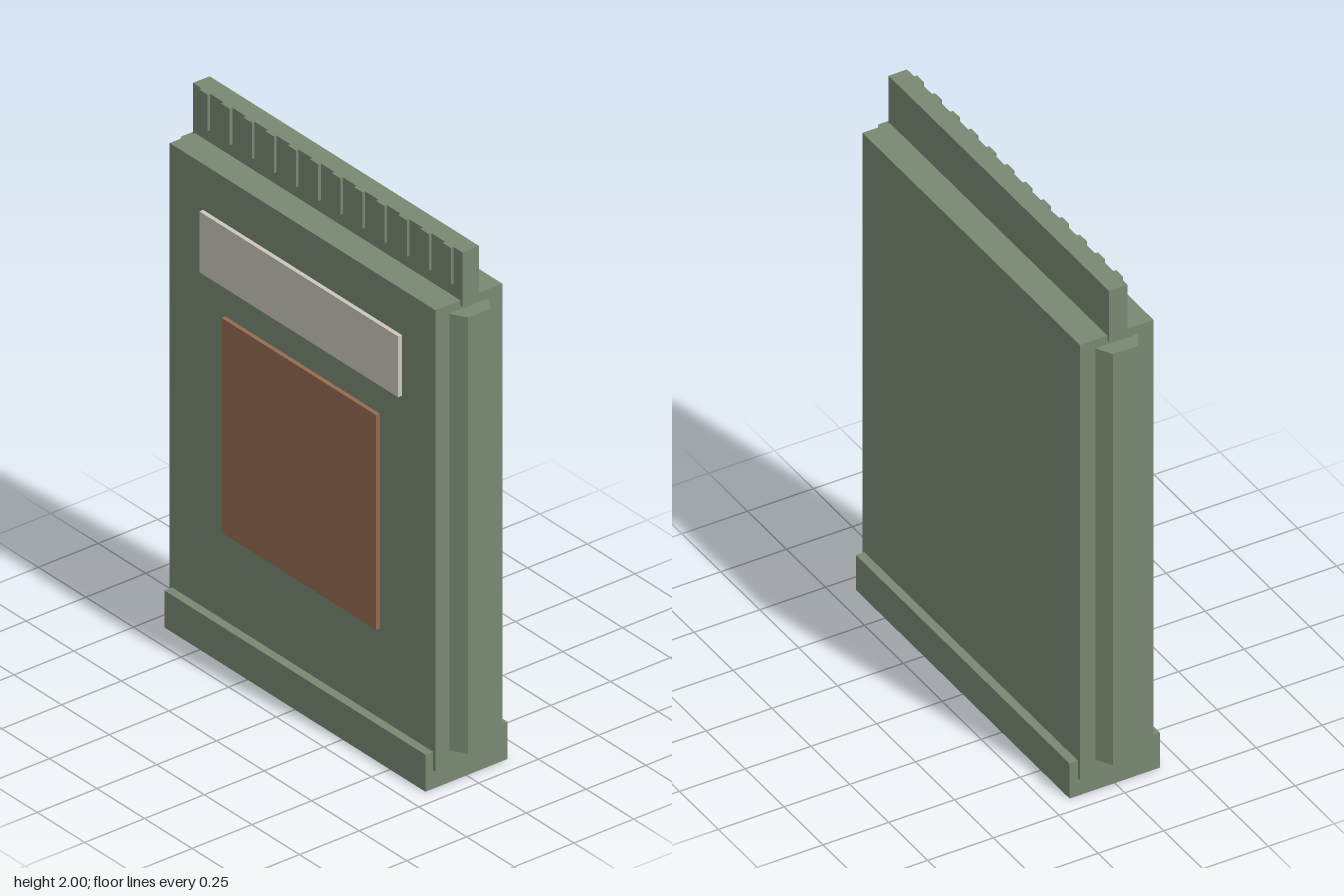
import * as THREE from 'three';

const green = new THREE.MeshStandardMaterial({ name: 'caseGreen', color: 0x788872 });
const cream = new THREE.MeshStandardMaterial({ name: 'labelCream', color: 0xcac6ba });
const brown = new THREE.MeshStandardMaterial({ name: 'panelBrown', color: 0x946a4f });

// Box given by its extents on each axis
function box(name, material, [x0, x1], [y0, y1], [z0, z1]) {
  const mesh = new THREE.Mesh(new THREE.BoxGeometry(x1 - x0, y1 - y0, z1 - z0), material);
  mesh.position.set((x0 + x1) / 2, (y0 + y1) / 2, (z0 + z1) / 2);
  mesh.name = name;
  return mesh;
}

// Vertical side rail with a trapezoid section, tapering outwards
function rail(name, side) {
  const points = [[0.69, -0.08], [0.698, -0.08], [0.755, -0.048], [0.755, 0.048], [0.698, 0.08], [0.69, 0.08]];
  const shape = new THREE.Shape(points.map(([x, z]) => new THREE.Vector2(side * x, z)));
  const geometry = new THREE.ExtrudeGeometry(shape, { depth: 1.65, bevelEnabled: false });
  geometry.rotateX(-Math.PI / 2);
  const mesh = new THREE.Mesh(geometry, green);
  mesh.position.y = 0.13;
  mesh.name = name;
  return mesh;
}

export function createModel() {
  const model = new THREE.Group();
  model.name = 'cartridge';

  // Case, foot and top connector strip
  model.add(
    box('body', green, [-0.698, 0.698], [0.07, 1.815], [-0.14, 0.14]),
    box('base', green, [-0.686, 0.686], [0, 0.14], [-0.172, 0.172]),
    box('connector', green, [-0.708, 0.708], [1.795, 2], [-0.035, 0.035]),
    rail('leftRail', 1),
    rail('rightRail', -1)
  );

  // Raised contacts along the front of the connector
  const contacts = new THREE.Group();
  contacts.name = 'contacts';
  for (let i = 0; i < 12; i++) {
    const x = (i - 5.5) * 0.1163;
    contacts.add(box('contact', green, [x - 0.0225, x + 0.0225], [1.862, 2], [0.03, 0.046]));
  }
  model.add(contacts);

  // Front label and panel
  model.add(
    box('label', cream, [-0.522, 0.522], [1.412, 1.642], [0.138, 0.156]),
    box('panel', brown, [-0.406, 0.406], [0.48, 1.292], [0.138, 0.156])
  );
  return model;
}
